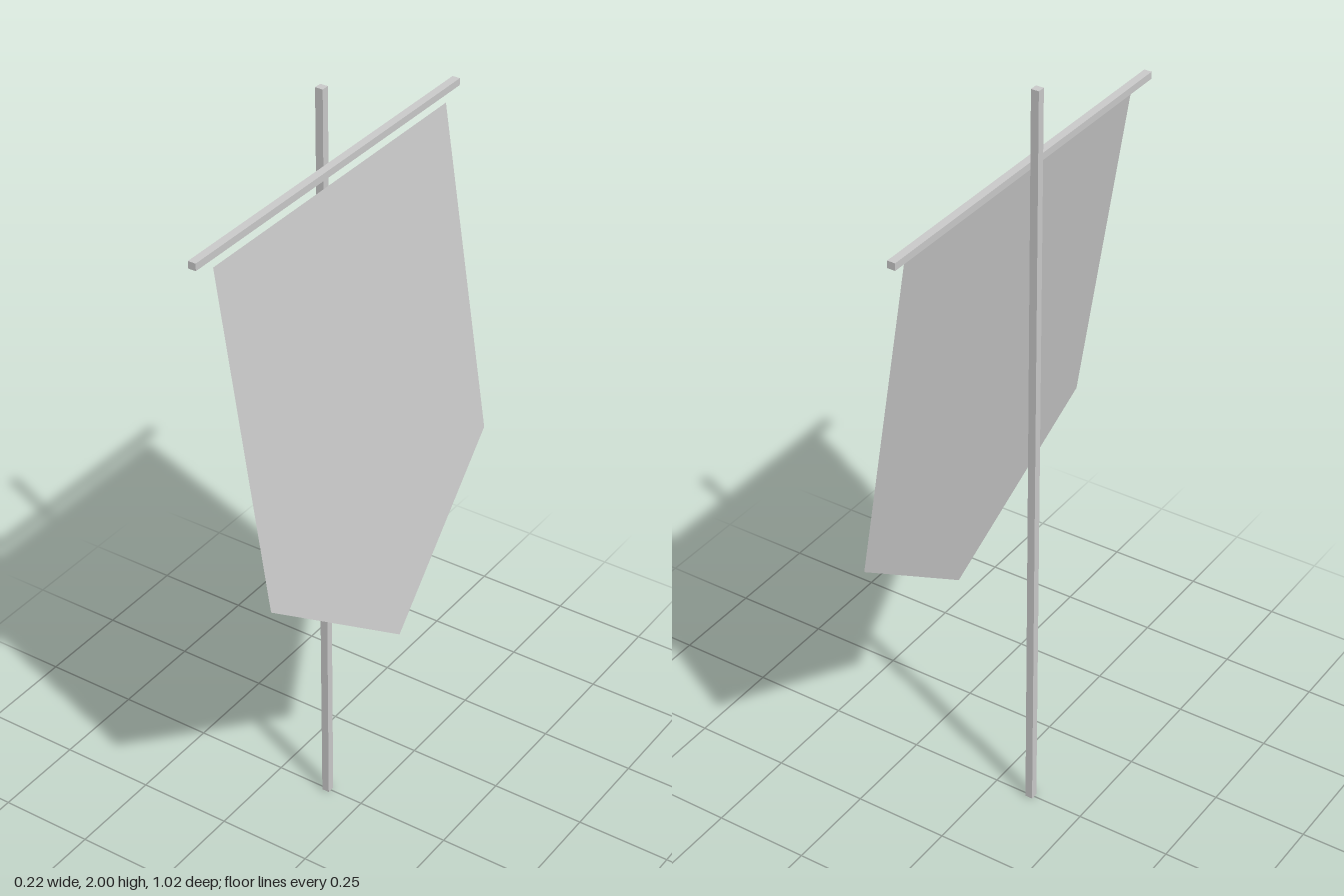
import * as THREE from 'three';

export function createModel() {
  const model = new THREE.Group();
  const grey = new THREE.MeshStandardMaterial({ color: 0xcccccc, flatShading: true });
  const clothGrey = new THREE.MeshStandardMaterial({ color: 0xcccccc, side: THREE.DoubleSide });

  function bar(name, size, position) {
    const mesh = new THREE.Mesh(new THREE.BoxGeometry(...size), grey);
    mesh.name = name;
    mesh.position.set(...position);
    model.add(mesh);
  }

  // Square upright pole and the crossbar in front of it
  bar('pole', [0.02, 2, 0.02], [-0.103, 1, 0]);
  bar('crossbar', [0.02, 0.018, 1.024], [-0.078, 1.809, 0]);

  // Pointed cloth: a flat pennant outline, hung from its top edge
  const halfWidth = 0.453, top = 1.78, tip = 0.595, shoulder = 0.928;
  const topX = -0.068, tipX = 0.112;
  const outline = new THREE.Shape([
    [-halfWidth, top], [-halfWidth, shoulder], [0, tip], [halfWidth, shoulder], [halfWidth, top],
  ].map(([u, y]) => new THREE.Vector2(u, y)));
  const cloth = new THREE.ShapeGeometry(outline);
  cloth.rotateY(Math.PI / 2); // faces +x

  // Lean the cloth outward towards its tip
  const p = cloth.attributes.position;
  for (let i = 0; i < p.count; i++) {
    p.setX(i, THREE.MathUtils.mapLinear(p.getY(i), top, tip, topX, tipX));
  }
  cloth.computeVertexNormals();

  const banner = new THREE.Mesh(cloth, clothGrey);
  banner.name = 'bannerCloth';
  model.add(banner);

  return model;
}
